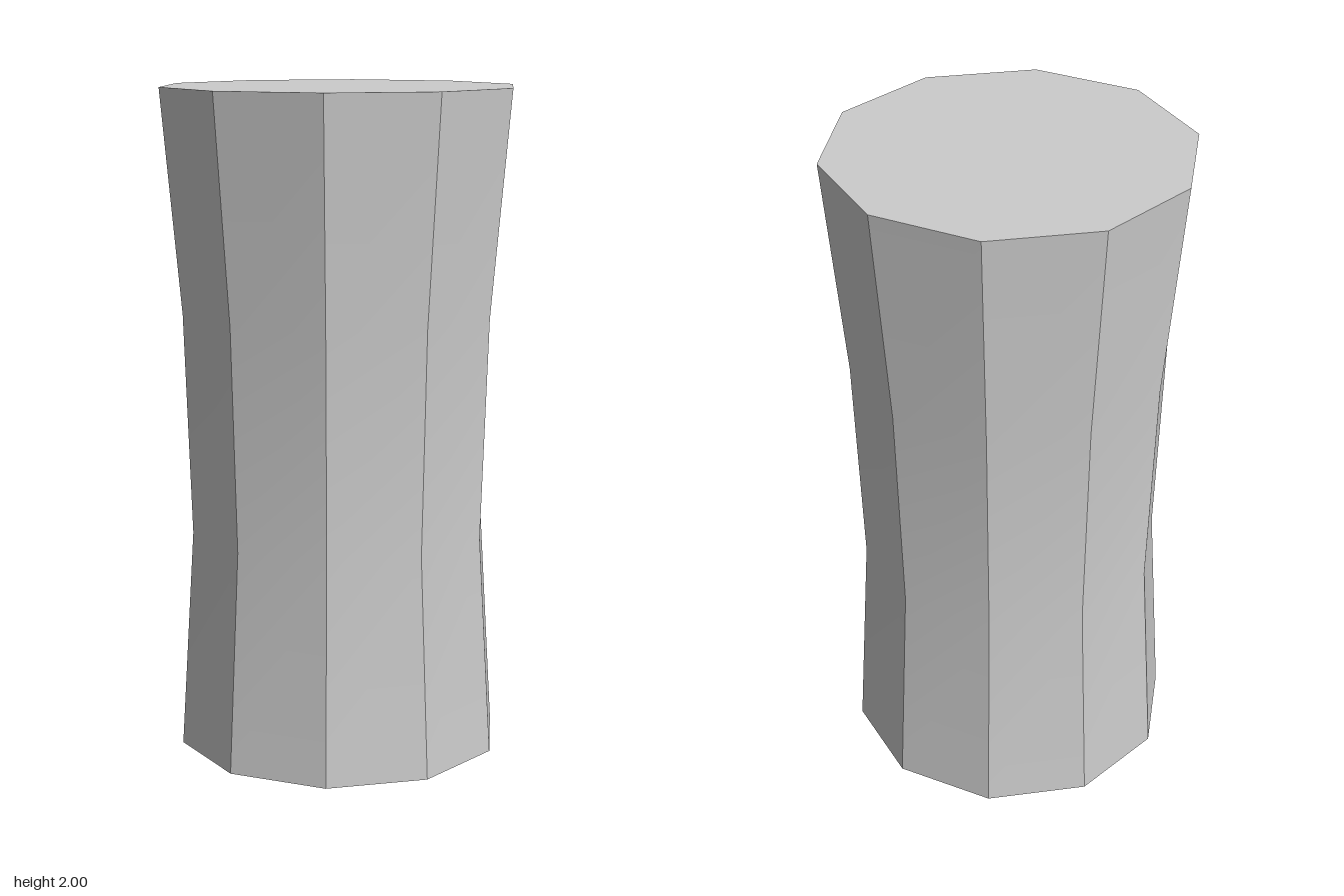
import * as THREE from 'three';
import { toCreasedNormals } from 'three/addons/utils/BufferGeometryUtils.js';

// Radius of each ring, evenly spaced from bottom to top
const HEIGHT = 2;
const RADII = [0.496, 0.455, 0.477, 0.537];

export function createModel() {
  const group = new THREE.Group();
  group.name = 'waistedColumn';

  // Ten-sided closed prism with a corner on the x axis
  const steps = RADII.length - 1;
  const geometry = new THREE.CylinderGeometry(1, 1, HEIGHT, 10, steps, false, Math.PI / 2);
  geometry.translate(0, HEIGHT / 2, 0);

  // Scale each ring to its radius to form the waist
  const pos = geometry.attributes.position;
  for (let i = 0; i < pos.count; i++) {
    const r = RADII[Math.round((pos.getY(i) / HEIGHT) * steps)];
    pos.setX(i, pos.getX(i) * r);
    pos.setZ(i, pos.getZ(i) * r);
  }

  // Sharp vertical edges and rims, smooth along the height
  const column = new THREE.Mesh(
    toCreasedNormals(geometry, 0.35),
    new THREE.MeshStandardMaterial({ color: 0xcccccc })
  );
  column.name = 'column';
  group.add(column);
  return group;
}
